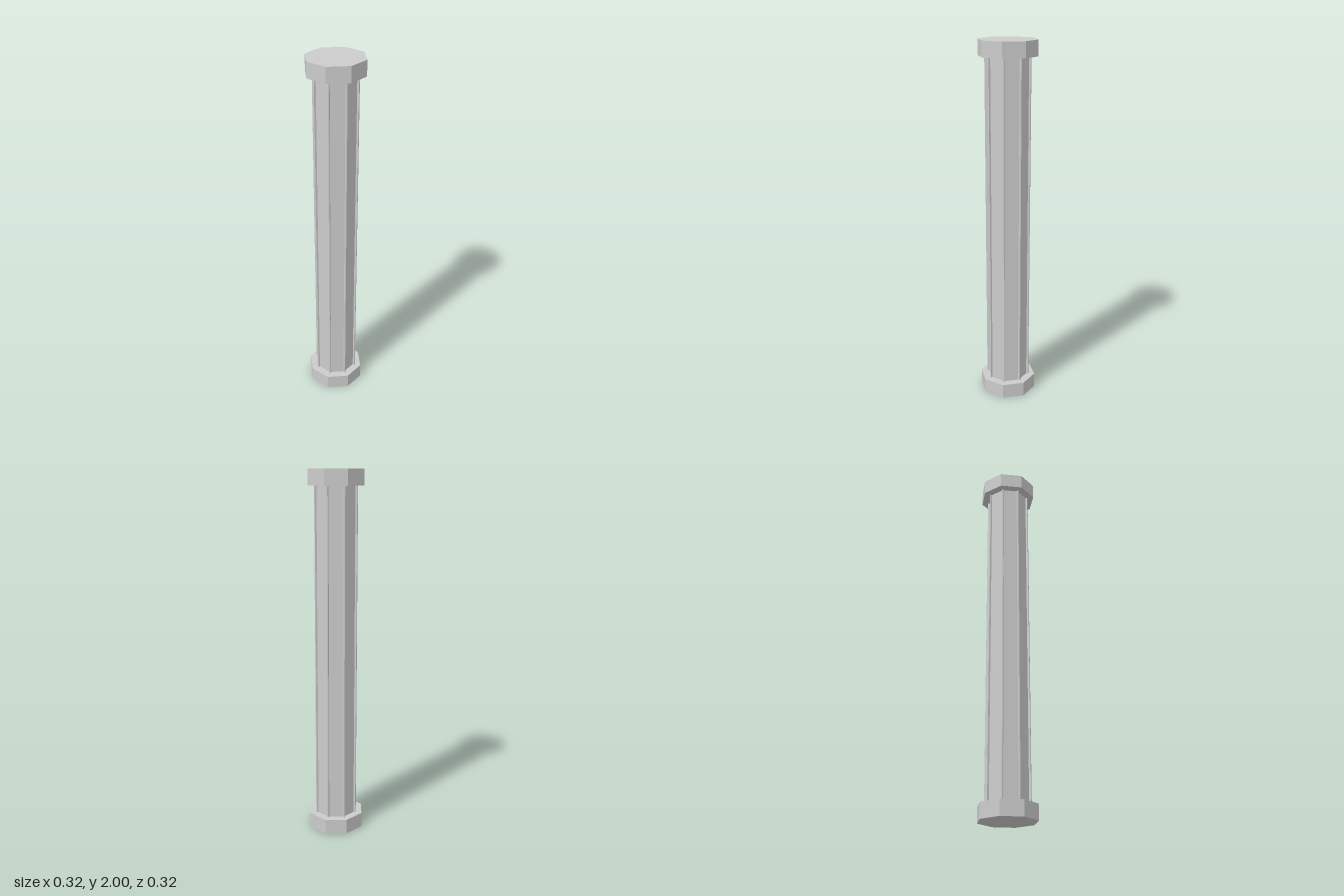
import * as THREE from 'three';

const SIDES = 8;
const HEIGHT = 2;
const CAP_HEIGHT = 0.083;
const CAP_RADIUS = 0.158;
const SHAFT_RADIUS = 0.123;
const RIB_HALF_WIDTH = 0.005;
const PANEL_DEPTH = 0.01;

export function createModel() {
  const group = new THREE.Group();
  group.name = 'column';
  const material = new THREE.MeshStandardMaterial({ color: 0xcccccc, flatShading: true });

  const add = (name, geometry, y) => {
    const mesh = new THREE.Mesh(geometry, material);
    mesh.name = name;
    mesh.position.y = y;
    group.add(mesh);
  };

  // Octagonal base and capital
  const cap = new THREE.CylinderGeometry(CAP_RADIUS, CAP_RADIUS, CAP_HEIGHT, SIDES);
  add('base', cap, CAP_HEIGHT / 2);
  add('capital', cap, HEIGHT - CAP_HEIGHT / 2);

  // Shaft section: a narrow rib at every corner, recessed flat panels between
  const shoulder = SHAFT_RADIUS - RIB_HALF_WIDTH * Math.tan(Math.PI / SIDES);
  const rib = [
    [shoulder - PANEL_DEPTH, -RIB_HALF_WIDTH],
    [shoulder, -RIB_HALF_WIDTH],
    [SHAFT_RADIUS, 0],
    [shoulder, RIB_HALF_WIDTH],
    [shoulder - PANEL_DEPTH, RIB_HALF_WIDTH],
  ];
  const points = [];
  for (let i = 0; i < SIDES; i++) {
    const angle = (i / SIDES) * Math.PI * 2;
    for (const [r, t] of rib) {
      points.push(new THREE.Vector2(r, t).rotateAround(new THREE.Vector2(), angle));
    }
  }
  const shaft = new THREE.ExtrudeGeometry(new THREE.Shape(points), {
    depth: HEIGHT - 2 * CAP_HEIGHT,
    bevelEnabled: false,
  });
  shaft.rotateX(-Math.PI / 2);
  add('shaft', shaft, CAP_HEIGHT);

  return group;
}
